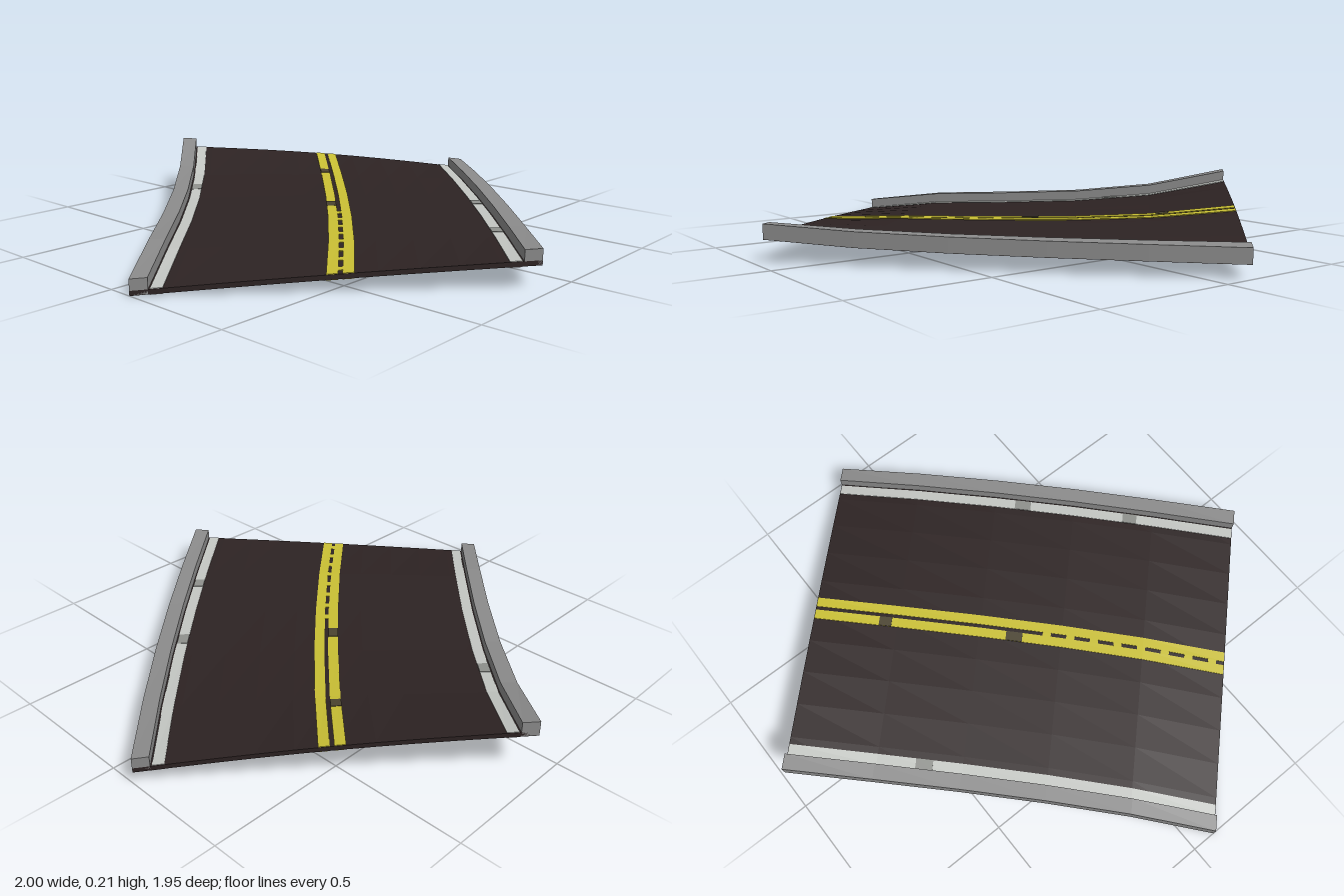
import * as THREE from 'three';

const material = (name, color) => {
  const m = new THREE.MeshStandardMaterial({ color, flatShading: true });
  m.name = name;
  return m;
};

// Road stations: height of the underside along each edge
const SPANS = 5;
const THICK = 0.016;
const leftY = [0, 0.035, 0.046, 0.06, 0.091, 0.157];
const rightY = [0.078, 0.063, 0.056, 0.052, 0.049, 0.045];
const lerp = THREE.MathUtils.lerp;

// Point on the underside at station k: s runs along the road, t across it
function station(k, t) {
  const s = k / SPANS;
  const bow = 0.018 * 4 * s * (1 - s);
  const crown = (0.004 + 0.011 * s) * Math.sin(Math.PI * t);
  return new THREE.Vector3(
    lerp(lerp(-1, 0.1, s), lerp(-0.13, 1, s), t) + bow,
    lerp(leftY[k], rightY[k], t) + crown,
    lerp(lerp(0.09, -0.98, s), lerp(0.97, -0.11, s), t) + bow
  );
}

function point(s, t, y) {
  const k = Math.min(SPANS - 1, Math.floor(s * SPANS + 1e-6));
  const p = station(k, t).lerp(station(k + 1, t), s * SPANS - k);
  p.y += y;
  return p;
}

// Closed slab following the road between s0..s1, t0..t1 and y0..y1
function slab(s0, s1, t0, t1, y0, y1, cols = 1) {
  const ss = [s0];
  for (let k = 0; k <= SPANS; k++) {
    const s = k / SPANS;
    if (s > s0 + 1e-4 && s < s1 - 1e-4) ss.push(s);
  }
  ss.push(s1);
  const ts = Array.from({ length: cols + 1 }, (_, i) => lerp(t0, t1, i / cols));
  const pos = [];
  const quad = (a, b, c, d) => [a, b, c, a, c, d].forEach((v) => pos.push(v.x, v.y, v.z));
  for (let i = 0; i < ss.length - 1; i++) {
    const [a, b] = [ss[i], ss[i + 1]];
    for (let j = 0; j < cols; j++) {
      const [l, r] = [ts[j], ts[j + 1]];
      quad(point(a, l, y1), point(a, r, y1), point(b, r, y1), point(b, l, y1));
      quad(point(a, l, y0), point(b, l, y0), point(b, r, y0), point(a, r, y0));
    }
    quad(point(a, t0, y0), point(a, t0, y1), point(b, t0, y1), point(b, t0, y0));
    quad(point(a, t1, y0), point(b, t1, y0), point(b, t1, y1), point(a, t1, y1));
  }
  for (let j = 0; j < cols; j++) {
    const [l, r] = [ts[j], ts[j + 1]];
    quad(point(s0, l, y0), point(s0, r, y0), point(s0, r, y1), point(s0, l, y1));
    quad(point(s1, l, y0), point(s1, l, y1), point(s1, r, y1), point(s1, r, y0));
  }
  const g = new THREE.BufferGeometry();
  g.setAttribute('position', new THREE.Float32BufferAttribute(pos, 3));
  g.computeVertexNormals();
  return g;
}

export function createModel() {
  const group = new THREE.Group();
  group.name = 'roadSection';
  const asphalt = material('asphalt', 0x2d2323);
  const concrete = material('concrete', 0x8c8c8c);
  const white = material('white paint', 0xc4c7c3);
  const yellow = material('yellow paint', 0xcac034);
  const wornWhite = material('worn white paint', 0x8f918d);
  const wornYellow = material('worn yellow paint', 0x4b4430);

  const add = (name, mat, ...args) => {
    const mesh = new THREE.Mesh(slab(...args), mat);
    mesh.name = name;
    group.add(mesh);
  };
  // Paint shows on both the top and the underside of the deck
  const paint = (name, mat, s0, s1, t0, t1, lift = 0.002) => {
    add(name + 'Top', mat, s0, s1, t0, t1, THICK - 0.001, THICK + lift);
    add(name + 'Under', mat, s0, s1, t0, t1, -lift, 0.001);
  };

  // Deck, with a dark underside running beneath the kerbs
  add('roadDeck', asphalt, 0, 1, 0.001, 0.999, 0, THICK, 10);

  // Kerbs
  add('kerbBack', concrete, 0, 1, 0, 0.045, 0.001, 0.053);
  add('kerbFront', concrete, 0, 1, 0.955, 1, 0.001, 0.053);

  // Edge lines
  const edges = [[0.049, 0.08], [0.92, 0.951]];
  edges.forEach(([a, b]) => paint('edgeLine', white, 0.001, 0.999, a, b));

  // Double centre line
  const lines = [[0.473, 0.502], [0.513, 0.542]];
  lines.forEach(([a, b]) => paint('centreLine', yellow, 0.001, 0.999, a, b));

  // Smeared paint bridging the gap along the first half
  for (let i = 0; i < 8; i++) {
    const s = 0.02 + i * 0.058;
    add('paintSmear', yellow, s, s + 0.02, 0.502, 0.513, THICK - 0.001, THICK + 0.002);
  }

  // Worn patches
  paint('wornEdge', wornWhite, 0.67, 0.71, ...edges[0], 0.0035);
  paint('wornEdge', wornWhite, 0.51, 0.55, ...edges[1], 0.0035);
  paint('wornEdge', wornWhite, 0.24, 0.275, ...edges[1], 0.0035);
  paint('wornCentre', wornYellow, 0.495, 0.535, ...lines[0], 0.0035);
  paint('wornCentre', wornYellow, 0.815, 0.845, ...lines[0], 0.0035);

  return group;
}
